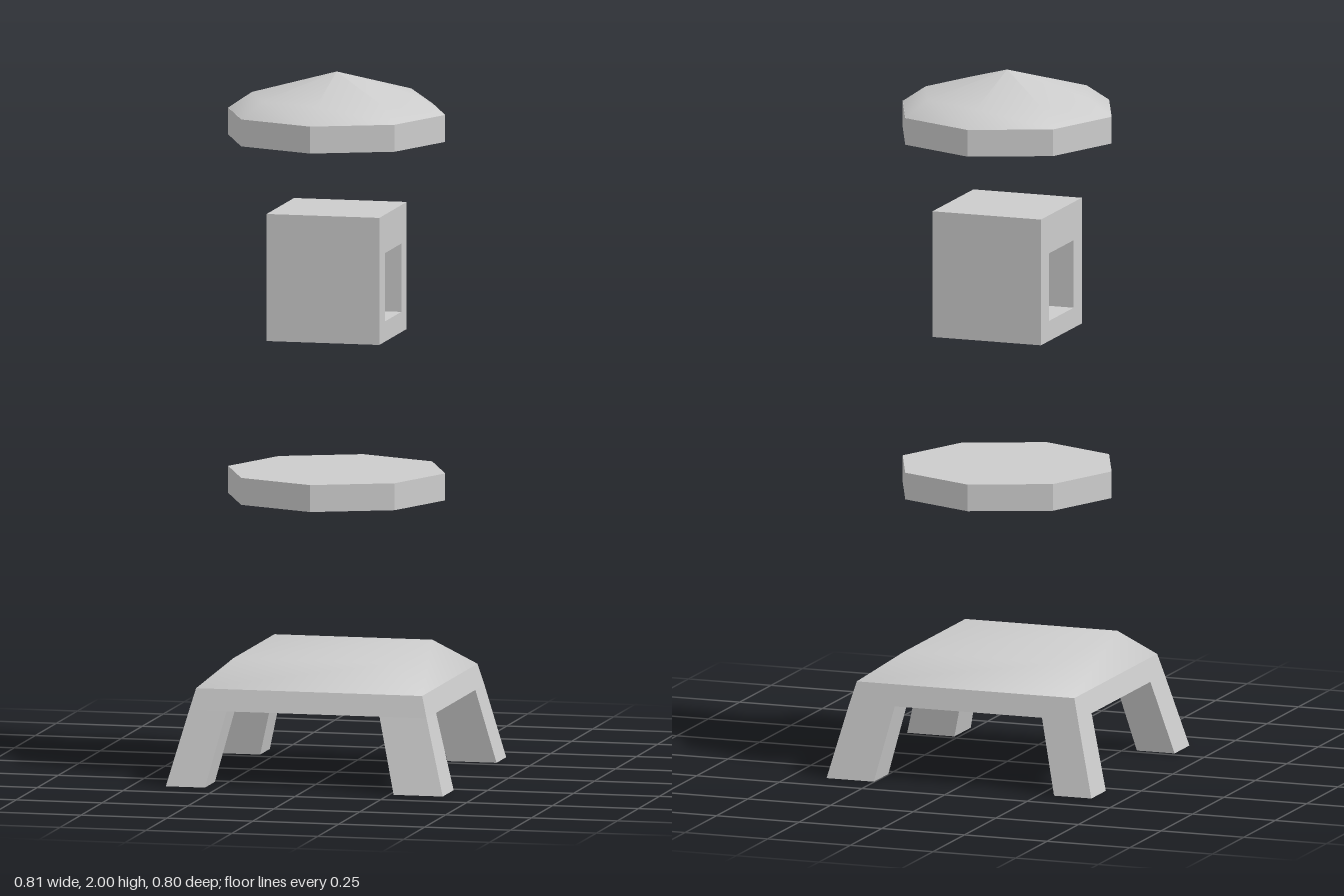
import * as THREE from 'three';

const flat = new THREE.MeshStandardMaterial({ color: 0xcccccc, flatShading: true });
const smooth = new THREE.MeshStandardMaterial({ color: 0xcccccc });

// Level rectangle, counterclockwise from above
const rect = (x0, x1, z0, z1, y) => [[x0, y, z1], [x1, y, z1], [x1, y, z0], [x0, y, z0]];

// Four-sided solid between a lower and an upper rectangle
function loft(low, high, bottomCap, topCap) {
  const index = [];
  for (let i = 0; i < 4; i++) {
    const j = (i + 1) % 4;
    index.push(i, j, 4 + j, i, 4 + j, 4 + i);
  }
  if (bottomCap) index.push(0, 2, 1, 0, 3, 2);
  if (topCap) index.push(4, 5, 6, 4, 6, 7);
  const g = new THREE.BufferGeometry();
  g.setAttribute('position', new THREE.Float32BufferAttribute([...low, ...high].flat(), 3));
  g.setIndex(index);
  g.computeVertexNormals();
  return g;
}

export function createModel() {
  const model = new THREE.Group();
  model.name = 'stoneLantern';
  const add = (name, geometry, material = flat, parent = model) => {
    const mesh = new THREE.Mesh(geometry, material);
    mesh.name = name;
    parent.add(mesh);
    return mesh;
  };

  // Base: slanted rim, softly shaded bevelled top, four splayed legs
  const base = new THREE.Group();
  base.name = 'base';
  model.add(base);
  const rimTop = rect(-0.332, 0.326, -0.341, 0.318, 0.273);
  add('baseRim', loft(rect(-0.348, 0.343, -0.354, 0.335, 0.212), rimTop, true, false), flat, base);
  add('baseTop', loft(rimTop, rect(-0.244, 0.216, -0.254, 0.233, 0.35), false, true), smooth, base);

  // Each leg: [foot x0, x1, z0, z1], [top x0, x1, z0, z1]
  const legs = {
    backRightLeg: [[-0.406, -0.293, -0.4, -0.285], [-0.348, -0.239, -0.354, -0.246]],
    backLeftLeg: [[0.252, 0.395, -0.4, -0.285], [0.206, 0.343, -0.354, -0.246]],
    frontRightLeg: [[-0.403, -0.289, 0.27, 0.388], [-0.348, -0.239, 0.222, 0.335]],
    frontLeftLeg: [[0.263, 0.406, 0.27, 0.4], [0.206, 0.343, 0.222, 0.335]],
  };
  for (const [name, [foot, top]] of Object.entries(legs)) {
    add(name, loft(rect(...foot, 0), rect(...top, 0.212), true, false), flat, base);
  }

  // Octagonal slabs: platform and roof edge
  const cx = -0.003, cz = -0.01, radius = 0.316;
  for (const [name, y] of [['platform', 0.824], ['roofEdge', 1.848]]) {
    add(name, new THREE.CylinderGeometry(radius, radius, 0.077, 8)).position.set(cx, y, cz);
  }

  // Softly shaded roof dome
  const profile = [[radius, 1.886], [0.247, 1.933], [0, 2]].map(p => new THREE.Vector2(...p));
  add('roofDome', new THREE.LatheGeometry(profile, 8), smooth).position.set(cx, 0, cz);

  // Lamp box with a square opening running through from side to side
  const square = (S, w, y0, y1) => new S([[-w, y0], [w, y0], [w, y1], [-w, y1]].map(p => new THREE.Vector2(...p)));
  const wall = square(THREE.Shape, 0.163, 1.247, 1.61);
  wall.holes.push(square(THREE.Path, 0.098, 1.305, 1.5));
  const box = new THREE.ExtrudeGeometry(wall, { depth: 0.328, bevelEnabled: false });
  box.translate(0, 0, -0.164).rotateY(Math.PI / 2);
  add('lampBox', box).position.set(cx, 0, cz);

  return model;
}
